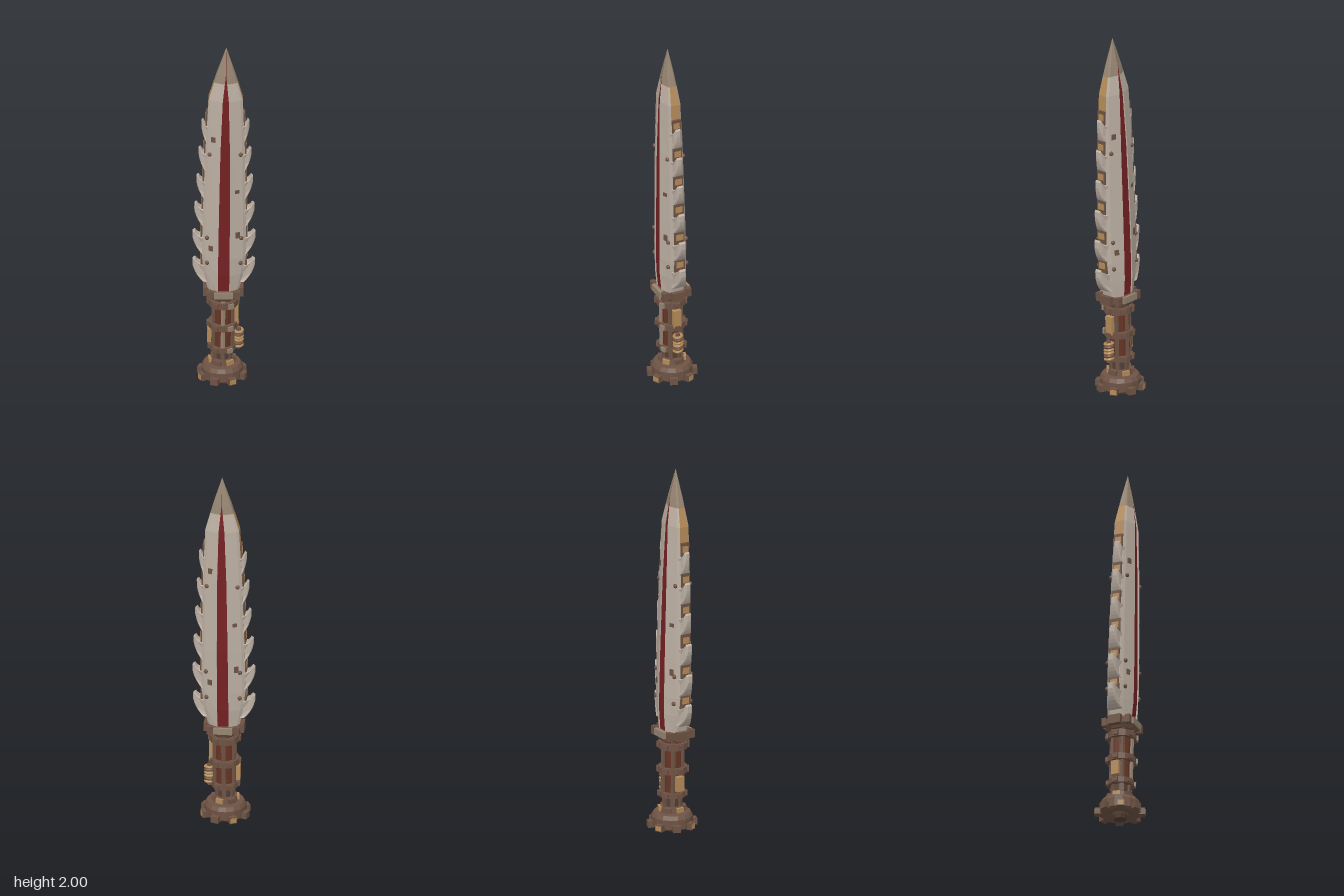
import * as THREE from 'three';

const mat = (name, color) => {
  const m = new THREE.MeshStandardMaterial({ color, flatShading: true });
  m.name = name;
  return m;
};

export function createModel() {
  const bone = mat('bone', 0xbcafa2), steel = mat('warm steel', 0x958471), tan = mat('tan brass', 0xb48b59);
  const brown = mat('brown iron', 0x6e5344), dark = mat('dark iron', 0x523f35);
  const rust = mat('rust grip', 0x653425), red = mat('red channel', 0x742023);

  const model = new THREE.Group();
  model.name = 'dagger';
  const add = (parent, name, geo, material, x = 0, y = 0, z = 0, ry = 0) => {
    const mesh = new THREE.Mesh(geo, material);
    mesh.name = name;
    mesh.position.set(x, y, z);
    mesh.rotation.y = ry;
    parent.add(mesh);
    return mesh;
  };
  const box = (w, h, d) => new THREE.BoxGeometry(w, h, d);
  const drum = (r0, r1, h, n = 14) => new THREE.CylinderGeometry(r1, r0, h, n);

  // The whole weapon leans forward slightly, and the blade is turned about its axis
  const body = new THREE.Group();
  body.name = 'body';
  body.rotation.x = 0.021;
  model.add(body);
  const turned = name => {
    const g = new THREE.Group();
    g.name = name;
    g.rotation.y = -0.54;
    body.add(g);
    return g;
  };
  const blade = turned('blade');

  // Blade sections: height, half width, edge half thickness, face half thickness, channel half width
  const sections = [
    [0.56, 0.083, 0.03, 0.068, 0.03], [0.66, 0.104, 0.032, 0.076, 0.03], [0.76, 0.116, 0.032, 0.077, 0.03],
    [1.0, 0.114, 0.031, 0.074, 0.029], [1.4, 0.104, 0.028, 0.066, 0.025], [1.7, 0.09, 0.025, 0.056, 0.016],
    [1.85, 0.048, 0.013, 0.034, 0.001], [2.0, 0.0005, 0.0004, 0.0006, 0.0001]];
  const sectionAt = y => {
    const i = Math.max(1, sections.findIndex(s => s[0] >= y));
    const a = sections[i - 1], b = sections[i], t = (y - a[0]) / (b[0] - a[0]);
    return a.map((v, k) => v + (b[k] - v) * t);
  };
  const outline = ([y, w, e, f, r]) => {
    const g = f - Math.min(0.008, r * 0.6), c = e + (f - e) * 0.32;
    const half = [[w, e], [w * 0.86, c], [r, f], [r, g], [-r, g], [-r, f], [-w * 0.86, c], [-w, e]];
    return [...half, ...half.map(([x, z]) => [-x, -z])].map(([x, z]) => [x, y, z]);
  };
  const loft = list => {
    const rings = list.map(outline), pos = [], geo = new THREE.BufferGeometry();
    for (let i = 0; i < 16; i++) {
      const j = (i + 1) % 16, start = pos.length / 3, k = i % 8;
      for (let n = 0; n + 1 < rings.length; n++) {
        const a = rings[n], b = rings[n + 1];
        pos.push(...a[i], ...b[i], ...b[j], ...a[i], ...b[j], ...a[j]);
      }
      // 0 face, 1 channel floor, 2 outer edge
      geo.addGroup(start, pos.length / 3 - start, k === 3 ? 1 : k === 7 ? 2 : 0);
    }
    geo.setAttribute('position', new THREE.Float32BufferAttribute(pos, 3));
    geo.computeVertexNormals();
    return geo;
  };
  const upper = sectionAt(1.6), shoulder = sectionAt(1.8);
  add(blade, 'bladeShell', loft([...sections.slice(0, 5), upper]), [bone, red, bone]);
  add(blade, 'bladeShoulder', loft([upper, sections[5], shoulder]), [bone, red, tan]);
  add(blade, 'bladeTip', loft([shoulder, ...sections.slice(6)]), [steel, red, steel]);

  // Hooked teeth with a long lower slope, thinning out towards their points
  const toothGeo = (p, d) => {
    const s = new THREE.Shape();
    s.moveTo(-0.045, -0.09);
    s.lineTo(0, -0.085);
    s.quadraticCurveTo(p * 0.75, -0.05, p, 0.002);
    s.lineTo(p, 0.034);
    s.lineTo(p * 0.85, 0.038);
    s.quadraticCurveTo(p * 0.5, 0.008, 0, 0.01);
    s.lineTo(-0.045, 0.03);
    const geo = new THREE.ExtrudeGeometry(s, {
      depth: d, bevelEnabled: true, bevelThickness: 0.008, bevelSize: 0.004, bevelSegments: 1, curveSegments: 5 });
    geo.translate(0, 0, -d / 2);
    const v = geo.attributes.position;
    for (let i = 0; i < v.count; i++) v.setZ(i, v.getZ(i) * (1 - 0.58 * Math.max(0, v.getX(i) / p)));
    geo.computeVertexNormals();
    return geo;
  };

  // Teeth and framed edge windows, repeated on both edges
  const sides = [1, -1];
  for (let i = 0; i < 6; i++) {
    const y = 0.692 + i * 0.167, [, w, e] = sectionAt(y);
    const geo = toothGeo(0.052 - i * 0.0055, e * 1.85);
    const yw = y + 0.048, [, ww, we] = sectionAt(yw);
    for (const s of sides) {
      add(blade, 'edgeTooth', geo, bone, s * w, y, 0, s > 0 ? 0 : Math.PI);
      add(blade, 'edgeWindow', box(0.018, 0.085, we * 1.85), brown, s * (ww - 0.001), yw, 0);
      add(blade, 'windowPanel', box(0.006, 0.034, we * 1.3), tan, s * (ww + 0.007), yw + 0.008, 0);
    }
  }
  for (const y of [0.73, 0.88, 1.38]) for (const s of sides) for (const f of sides) {
    const [, w, e, d] = sectionAt(y);
    add(blade, 'rivet', new THREE.SphereGeometry(0.012, 8, 6), brown, s * w * 0.78, y, f * (e + (d - e) * 0.45));
  }
  // Worn chips lying on the blade faces
  for (const [u, y, h] of [[0.62, 0.9, 0.035], [-0.6, 0.82, 0.03], [0.6, 1.16, 0.02], [-0.62, 1.47, 0.03]]) {
    for (const f of sides) {
      const [, w, e, d, r] = sectionAt(y), c = e + (d - e) * 0.32;
      const t = (0.86 * w - Math.abs(u) * w) / (0.86 * w - r);
      add(blade, 'wornChip', box(0.025, h, 0.006), brown, f * u * w, y, f * (c + (d - c) * t),
        Math.sign(u) * Math.atan2(d - c, 0.86 * w - r));
    }
  }

  // Squarish guard with clamps
  const guard = turned('guard');
  add(guard, 'guardPlate', box(0.164, 0.036, 0.15), brown, 0, 0.545, 0);
  add(guard, 'guardUnderside', drum(0.076, 0.088, 0.022, 8), brown, 0, 0.517, 0, Math.PI / 8);
  for (const s of sides) {
    add(guard, 'guardBlock', box(0.03, 0.05, 0.07), brown, s * 0.092, 0.543, 0);
    add(guard, 'guardClamp', box(0.1, 0.036, 0.02), steel, 0, 0.545, s * 0.078);
    for (const f of sides) add(guard, 'guardCorner', box(0.026, 0.046, 0.026), brown, s * 0.074, 0.544, f * 0.068);
  }

  // Grip with bars and collars
  const grip = turned('grip');
  add(grip, 'gripCore', drum(0.056, 0.058, 0.31), rust, 0, 0.36, 0);
  add(grip, 'gripStem', drum(0.046, 0.046, 0.1), dark, 0, 0.16, 0);
  for (let i = 0; i < 6; i++) {
    const a = (i + 0.5) * Math.PI / 3;
    add(grip, 'gripBar', drum(0.013, 0.013, 0.33, 6), i === 1 ? steel : brown,
      Math.cos(a) * 0.057, 0.355, Math.sin(a) * 0.057);
    add(grip, 'stemBar', box(0.018, 0.07, 0.022), brown, Math.cos(a) * 0.046, 0.165, Math.sin(a) * 0.046, -a);
  }
  for (const [y, r, h] of [[0.205, 0.072, 0.03], [0.34, 0.078, 0.034], [0.475, 0.079, 0.036]]) {
    add(grip, 'collar', drum(r, r, h), brown, 0, y, 0);
    for (let i = 0; i < 6; i++) {
      const a = i * Math.PI / 3;
      add(grip, 'collarStud', box(0.016, h * 0.8, 0.03), i === 1 ? steel : brown,
        Math.cos(a) * r, y, Math.sin(a) * r, -a);
    }
  }
  add(grip, 'brassPlate', box(0.028, 0.1, 0.044), tan, 0.068, 0.395, 0);
  add(grip, 'brassPlateBack', box(0.028, 0.08, 0.044), tan, -0.068, 0.272, 0);

  // Coil spring on the side of the grip
  for (let i = 0; i < 6; i++) {
    const coil = add(grip, 'springCoil', new THREE.TorusGeometry(0.021, 0.008, 6, 12), i % 3 === 1 ? brown : tan,
      0.083, 0.21 + i * 0.017, 0);
    coil.rotation.x = Math.PI / 2 + 0.15;
  }
  add(grip, 'springRod', drum(0.013, 0.013, 0.12, 8), brown, 0.083, 0.25, 0);

  // Neck and geared pommel
  const pommel = new THREE.Group();
  pommel.name = 'pommel';
  model.add(pommel);
  add(pommel, 'neck', drum(0.068, 0.062, 0.035), brown, 0, 0.122, 0);
  for (let i = 0; i < 6; i++) {
    const a = i * Math.PI / 3 + 0.4;
    add(pommel, 'neckBlock', box(0.022, 0.026, 0.04), i % 2 ? tan : brown, Math.cos(a) * 0.062, 0.125, Math.sin(a) * 0.062, -a);
  }
  const profile = [[0, 0.02], [0.04, 0.02], [0.045, 0.03], [0.1, 0.024], [0.11, 0.034], [0.11, 0.085], [0.098, 0.106], [0, 0.112]];
  add(pommel, 'pommelBody', new THREE.LatheGeometry(profile.map(p => new THREE.Vector2(...p)), 16), brown);
  add(pommel, 'pommelButton', drum(0.034, 0.04, 0.024, 8), dark, 0, 0.012, 0);
  for (let i = 0; i < 8; i++) {
    const a = i * Math.PI / 4 + 0.1;
    add(pommel, 'gearLug', box(0.034, 0.036, 0.042), brown, Math.cos(a) * 0.115, 0.043, Math.sin(a) * 0.115, -a);
    if (i % 2 === 0) add(pommel, 'lugFace', box(0.006, 0.026, 0.034), tan, Math.cos(a) * 0.131, 0.043, Math.sin(a) * 0.131, -a);
  }
  return model;
}
